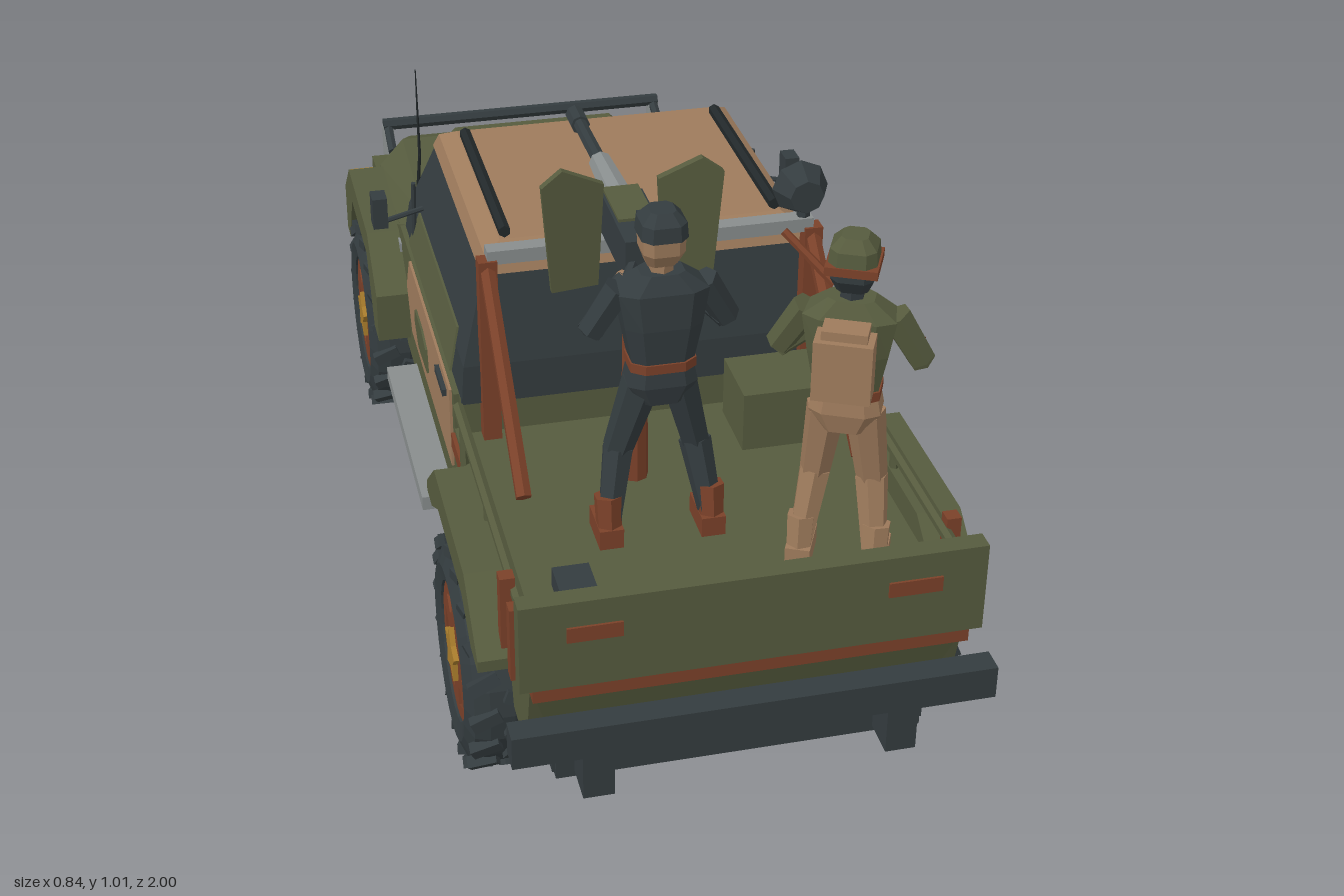
import * as THREE from 'three';

const mat = (name, color) => Object.assign(new THREE.MeshStandardMaterial({ color, flatShading: true }), { name });
const olive = mat('olive', 0x565b3e), dark = mat('charcoal', 0x343c3f), tan = mat('tan', 0x9e7b5c),
  rust = mat('rust', 0x7b4129), grey = mat('grey', 0x888d8d), gold = mat('gold', 0xa87c2c),
  black = mat('black', 0x22282a);
const V = (x, y, z) => new THREE.Vector3(x, y, z);

export function createModel() {
  const root = new THREE.Group();
  root.name = 'pickupTruck';
  const add = (name, geo, m, parent = root) => {
    const mesh = new THREE.Mesh(geo, m);
    mesh.name = name;
    parent.add(mesh);
    return mesh;
  };
  // box from min/max extents
  const box = (name, m, x0, x1, y0, y1, z0, z1, parent) =>
    add(name, new THREE.BoxGeometry(x1 - x0, y1 - y0, z1 - z0).translate((x0 + x1) / 2, (y0 + y1) / 2, (z0 + z1) / 2), m, parent);
  // tapered bar between two points
  const bar = (name, m, a, b, r0, r1 = r0, sides = 6, parent = root) => {
    const p = V(...a), q = V(...b), mesh = add(name, new THREE.CylinderGeometry(r1, r0, p.distanceTo(q), sides), m, parent);
    mesh.position.copy(p).lerp(q, 0.5);
    mesh.quaternion.setFromUnitVectors(V(0, 1, 0), q.sub(p).normalize());
    return mesh;
  };
  // closed skin through rings of equal point count
  const loft = (name, m, rings, parent) => {
    const tris = [], n = rings[0].length, last = rings[rings.length - 1];
    for (let r = 0; r + 1 < rings.length; r++)
      for (let i = 0; i < n; i++) {
        const j = (i + 1) % n, a = rings[r], b = rings[r + 1];
        tris.push([a[i], a[j], b[j]], [a[i], b[j], b[i]]);
      }
    for (let i = 1; i + 1 < n; i++) tris.push([rings[0][0], rings[0][i + 1], rings[0][i]], [last[0], last[i], last[i + 1]]);
    const vol = tris.reduce((s, [a, b, c]) => s + V(...a).dot(V(...b).cross(V(...c))), 0);
    const g = new THREE.BufferGeometry();
    g.setAttribute('position', new THREE.Float32BufferAttribute(tris.flatMap(t => (vol < 0 ? t.reverse() : t).flat()), 3));
    g.computeVertexNormals();
    return add(name, g, m, parent);
  };
  const shape = pts => new THREE.Shape(pts.map(p => new THREE.Vector2(...p)));
  // [z, y] outline extruded from x0 to x1
  const side = (name, m, pts, x0, x1) =>
    add(name, new THREE.ExtrudeGeometry(shape(pts), { depth: x1 - x0, bevelEnabled: false }).rotateY(-Math.PI / 2).translate(x1, 0, 0), m);
  const bothSides = (name, m, pts, x0, x1) => { side(name, m, pts, x0, x1); side(name, m, pts, -x1, -x0); };
  const arc = (c, r, y) => Array.from({ length: 9 }, (_, i) => {
    const a = Math.PI * i / 8;
    return [c - r * Math.cos(a), Math.max(y, 0.2 + r * Math.sin(a))];
  });

  // chassis
  box('floorPan', olive, -0.3, 0.3, 0.225, 0.4, -0.86, 0.9);
  for (const s of [-1, 1]) {
    box('frameRail', dark, s * 0.285 - 0.02, s * 0.285 + 0.02, 0.18, 0.235, -0.88, 0.9);
    box('bumperBracket', dark, s * 0.245 - 0.025, s * 0.245 + 0.025, 0.18, 0.3, 0.88, 0.97);
    box('runningBoard', grey, s * 0.37 - 0.035, s * 0.37 + 0.035, 0.235, 0.262, -0.25, 0.22);
  }
  for (const z of [-0.86, -0.59, -0.3, 0.25, 0.59, 0.88]) box('crossMember', dark, -0.3, 0.3, 0.17, 0.228, z - 0.025, z + 0.025);
  for (const z of [-0.59, 0.59]) bar('axle', dark, [-0.36, 0.2, z], [0.36, 0.2, z], 0.03, 0.03, 8);

  // body skins with wheel openings
  bothSides('bodySide', olive, [[-0.87, 0.25], ...arc(-0.59, 0.205, 0.235), ...arc(0.59, 0.205, 0.235), [0.9, 0.235],
    [0.94, 0.38], [0.94, 0.41], [0.25, 0.41], [0.25, 0.49], [-0.41, 0.49], [-0.5, 0.45], [-0.87, 0.43]], 0.29, 0.345);
  // fender flares
  for (const [c, e] of [[-0.59, 0.28], [0.59, 0.36]])
    bothSides('fenderFlare', olive, [[c - 0.25, e], [c - 0.25, 0.38], [c - 0.15, 0.465], [c + 0.15, 0.465], [c + 0.265, 0.38],
      [c + 0.265, e], [c + 0.2, e], [c + 0.12, 0.405], [c - 0.12, 0.405], [c - 0.2, e]], 0.335, 0.41);

  // hood and nose
  const hoodRing = (z, w, ya, yb, c) => [[-w, 0.36, z], [w, 0.36, z], [w, ya, z], [w - c, yb, z], [c - w, yb, z], [-w, ya, z]];
  loft('hood', olive, [hoodRing(-0.36, 0.34, 0.47, 0.525, 0.04), hoodRing(-0.76, 0.34, 0.46, 0.515, 0.05), hoodRing(-0.88, 0.3, 0.43, 0.465, 0.04)]);
  loft('hoodBulge', olive, [[[-0.2, 0.5, -0.42], [0.2, 0.5, -0.42], [0.17, 0.532, -0.42], [-0.17, 0.532, -0.42]],
    [[-0.2, 0.48, -0.8], [0.2, 0.48, -0.8], [0.17, 0.512, -0.8], [-0.17, 0.512, -0.8]]]);
  for (let i = 0; i < 6; i++) box('hoodVent', i % 2 ? grey : dark, -0.095 + i * 0.032, -0.075 + i * 0.032, 0.525, 0.536, -0.49, -0.44);
  box('noseLower', olive, -0.3, 0.3, 0.24, 0.4, -0.88, -0.8);
  box('grille', dark, -0.22, 0.22, 0.35, 0.445, -0.89, -0.87);
  for (let i = 0; i < 4; i++) box('grilleBar', black, -0.21, 0.21, 0.362 + i * 0.022, 0.37 + i * 0.022, -0.896, -0.88);
  box('frontBumper', gold, -0.385, 0.385, 0.29, 0.355, -0.97, -0.89);
  box('winchPlate', grey, -0.085, 0.085, 0.3, 0.345, -1, -0.965);
  for (const s of [-1, 1]) {
    bar('headlight', rust, [s * 0.26, 0.4, -0.87], [s * 0.26, 0.4, -0.9], 0.035, 0.035, 10);
    bar('headlightLens', gold, [s * 0.26, 0.4, -0.895], [s * 0.26, 0.4, -0.904], 0.026, 0.026, 10);
    bar('guardPost', grey, [s * 0.3, 0.34, -0.93], [s * 0.3, 0.47, -0.93], 0.014);
    bar('guardBrace', dark, [s * 0.3, 0.47, -0.93], [s * 0.3, 0.44, -0.86], 0.01);
    box('fenderPatch', grey, s * 0.343 - 0.006, s * 0.343 + 0.006, 0.42, 0.455, -0.46, -0.4);
  }
  bar('guardTopBar', dark, [-0.31, 0.475, -0.93], [0.31, 0.475, -0.93], 0.013);

  // cab
  const rect = (y, w, z0, z1) => [[-w, y, z0], [w, y, z0], [w, y, z1], [-w, y, z1]];
  box('cabLower', olive, -0.335, 0.335, 0.25, 0.49, -0.41, 0.27);
  loft('cabGlass', dark, [rect(0.485, 0.335, -0.41, 0.28), rect(0.56, 0.33, -0.37, 0.28), rect(0.73, 0.285, -0.27, 0.25)]);
  loft('roof', tan, [rect(0.722, 0.29, -0.28, 0.255), rect(0.75, 0.28, -0.265, 0.245), rect(0.767, 0.25, -0.235, 0.215)]);
  const pane = (name, m, pts, d) => loft(name, m, [pts, pts.map(p => p.map((v, i) => v + d[i]))]);
  const wx = y => 0.33 - (y - 0.56) * 0.265, wz = y => -0.37 + (y - 0.56) * 0.588;
  for (const s of [-1, 1]) {
    pane('windshieldPane', olive, [[s * 0.008, 0.575, wz(0.575)], [s * 0.285, 0.575, wz(0.575)], [s * 0.25, 0.71, wz(0.71)], [s * 0.008, 0.71, wz(0.71)]], [0, 0.003, -0.005]);
    pane('cowlPane', olive, [[s * 0.01, 0.53, -0.386], [s * 0.29, 0.53, -0.386], [s * 0.285, 0.55, -0.376], [s * 0.01, 0.55, -0.376]], [0, 0.002, -0.004]);
    pane('sideWindowBand', olive, [[s * wx(0.52), 0.515, -0.29], [s * wx(0.52), 0.515, 0.21], [s * wx(0.59), 0.59, 0.19], [s * wx(0.59), 0.59, -0.26]], [s * 0.004, 0, 0]);
    bar('roofRail', black, [s * 0.24, 0.778, -0.2], [s * 0.24, 0.778, 0.21], 0.011);
    bar('mirrorArm', dark, [s * 0.32, 0.61, -0.24], [s * 0.4, 0.595, -0.23], 0.005);
    bar('mirrorPost', dark, [s * 0.335, 0.54, -0.27], [s * 0.335, 0.66, -0.25], 0.005);
    box('mirror', dark, s * 0.405 - 0.014, s * 0.405 + 0.014, 0.59, 0.652, -0.25, -0.21);
  }
  bothSides('doorPanel', tan, [[0.23, 0.33], [0.23, 0.488], [-0.26, 0.488], [-0.31, 0.41], [-0.26, 0.33]], 0.34, 0.35);
  bothSides('doorPatch', olive, [[-0.03, 0.37], [-0.04, 0.415], [-0.09, 0.43], [-0.17, 0.43], [-0.18, 0.4], [-0.14, 0.365]], 0.345, 0.354);
  bothSides('doorHandle', dark, [[0.2, 0.458], [0.2, 0.471], [0.11, 0.471], [0.11, 0.458]], 0.345, 0.358);
  bar('antenna', black, [-0.31, 0.5, -0.42], [-0.31, 0.68, -0.33], 0.004, 0.003, 4);
  bar('antennaTip', black, [-0.31, 0.68, -0.33], [-0.316, 0.875, -0.29], 0.003, 0.001, 4);

  // cargo bed and tailgate
  box('bedFloor', olive, -0.345, 0.345, 0.395, 0.42, 0.25, 0.94);
  bothSides('bedSill', rust, [[0.25, 0.383], [0.25, 0.412], [0.94, 0.412], [0.94, 0.383]], 0.34, 0.352);
  box('tailgate', olive, -0.365, 0.365, 0.4, 0.555, 0.935, 0.968);
  box('tailgateSill', rust, -0.345, 0.345, 0.376, 0.4, 0.92, 0.965);
  loft('rearApron', olive, [rect(0.235, 0.3, 0.86, 0.9), rect(0.376, 0.34, 0.86, 0.945)]);
  box('rearBumper', dark, -0.385, 0.385, 0.285, 0.342, 0.958, 1);
  for (const s of [-1, 1]) {
    box('tailLight', rust, s * 0.25 - 0.043, s * 0.25 + 0.043, 0.485, 0.511, 0.965, 0.972);
    for (const z of [0.83, 0.91]) box('bedPost', rust, s * 0.358 - 0.012, s * 0.358 + 0.012, 0.39, 0.52, z - 0.012, z + 0.012);
    for (const z of [0.36, 0.6]) bar('railPost', olive, [s * 0.345, 0.41, z], [s * 0.345, 0.49, z], 0.009);
    bar('bedRail', olive, [s * 0.345, 0.495, 0.3], [s * 0.345, 0.495, 0.94], 0.01);
    loft('cornerPlate', rust, [0.421, 0.428].map(y => [[s * 0.34, y, 0.935], [s * 0.26, y, 0.935], [s * 0.34, y, 0.85]]));
    // roll bar
    box('rollPost', rust, s * 0.285 - 0.016, s * 0.285 + 0.016, 0.41, 0.77, 0.27, 0.3);
    bar('rollBrace', rust, [s * 0.285, 0.76, 0.28], [s * 0.285, 0.49, 0.59], 0.014);
  }
  box('rollCrossbar', grey, -0.285, 0.285, 0.762, 0.787, 0.265, 0.295);
  box('ammoCrate', olive, 0.13, 0.29, 0.42, 0.53, 0.3, 0.43);
  box('toolCase', dark, -0.27, -0.21, 0.42, 0.455, 0.74, 0.83);
  bar('searchlight', dark, [0.27, 0.83, 0.3], [0.27, 0.83, 0.255], 0.03, 0.05, 8);
  bar('searchlightLens', gold, [0.27, 0.83, 0.256], [0.27, 0.83, 0.249], 0.042, 0.042, 8);
  bar('searchlightStem', dark, [0.27, 0.77, 0.28], [0.27, 0.8, 0.28], 0.012);

  // wheels
  const wheel = (x, z, m, hub) => {
    const g = new THREE.Group();
    g.name = 'wheel';
    g.position.set(x, 0.2, z);
    if (x < 0) g.rotation.y = Math.PI;
    root.add(g);
    const tyre = [[0.05, -0.055], [0.15, -0.058], [0.18, -0.045], [0.188, -0.02], [0.188, 0.02], [0.18, 0.045], [0.15, 0.058], [0.12, 0.052], [0.115, 0.03], [0.001, 0.03]];
    add('tyre', new THREE.LatheGeometry(tyre.map(p => new THREE.Vector2(...p)), 24).rotateZ(-Math.PI / 2), dark, g);
    add('innerHub', new THREE.CylinderGeometry(0.11, 0.11, 0.02, 18).rotateZ(Math.PI / 2).translate(-0.045, 0, 0), black, g);
    for (let i = 0; i < 18; i++) for (const s of [-1, 1]) {
      const lug = new THREE.BoxGeometry(0.05, 0.02, 0.022).rotateY(s * 0.4).translate(s * 0.028, 0.187, 0);
      add('treadLug', lug.rotateX((i + (s > 0 ? 0.5 : 0)) * Math.PI / 9), dark, g);
    }
    const rim = new THREE.Shape().absarc(0, 0, 0.118, 0, Math.PI * 2);
    for (let i = 0; i < 6; i++) {
      const a = i * Math.PI / 3;
      rim.holes.push(new THREE.Path([[0.065, -0.2], [0.098, -0.28], [0.098, 0.28], [0.065, 0.2]].map(([r, d]) => new THREE.Vector2(r * Math.cos(a + d), r * Math.sin(a + d)))));
    }
    add('rim', new THREE.ExtrudeGeometry(rim, { depth: 0.012, bevelEnabled: false, curveSegments: 12 }).rotateY(Math.PI / 2).translate(0.036, 0, 0), m, g);
    const star = shape(Array.from({ length: 10 }, (_, i) => {
      const r = i % 2 ? 0.028 : 0.05, a = Math.PI / 2 + i * Math.PI / 5;
      return [r * Math.cos(a), r * Math.sin(a)];
    }));
    add('hubCap', new THREE.ExtrudeGeometry(star, { depth: 0.012, bevelEnabled: false }).rotateY(Math.PI / 2).translate(0.045, 0, 0), hub, g);
  };
  wheel(0.36, 0.59, grey, grey);
  for (const [x, z] of [[0.36, -0.59], [-0.36, -0.59], [-0.36, 0.59]]) wheel(x, z, rust, gold);

  // mounted gun with split shield
  const gx = -0.07;
  bar('gunPedestal', rust, [gx, 0.42, 0.46], [gx, 0.85, 0.46], 0.024, 0.02, 8);
  box('gunReceiver', dark, gx - 0.035, gx + 0.035, 0.84, 0.91, 0.36, 0.54);
  box('ammoBox', olive, gx - 0.03, gx + 0.03, 0.85, 0.915, 0.35, 0.47);
  bar('gunSleeve', grey, [gx, 0.887, 0.36], [gx, 0.887, 0.2], 0.026, 0.02, 8);
  bar('gunBarrel', dark, [gx, 0.887, 0.22], [gx, 0.884, 0], 0.013, 0.012, 8);
  bar('muzzle', dark, [gx, 0.884, 0.04], [gx, 0.884, -0.01], 0.017, 0.017, 8);
  for (const s of [-1, 1]) {
    const pts = [[0.15, 0.97], [0.115, 0.995], [0.045, 0.96], [0.055, 0.78], [0.135, 0.78]];
    loft('gunShield', olive, [0, 0.014].map(d => pts.map(([x, y]) => [gx + s * x, y, 0.41 + d + x * 0.15])));
    bar('gunGrip', dark, [gx + s * 0.02, 0.87, 0.53], [gx + s * 0.04, 0.86, 0.57], 0.009);
  }

  // crew figures, facing -z, feet on the bed floor
  const figure = (name, x, z, c, turn, spread, hands) => {
    const g = new THREE.Group();
    g.name = name;
    g.position.set(x, 0.42, z);
    g.rotation.y = turn;
    root.add(g);
    const ring = (y, w, d, o = 0) => [[-w, y, o - d * 0.6], [-w * 0.6, y, o - d], [w * 0.6, y, o - d], [w, y, o - d * 0.6],
      [w, y, o + d * 0.6], [w * 0.6, y, o + d], [-w * 0.6, y, o + d], [-w, y, o + d * 0.6]];
    loft('torso', c.top, [ring(0.32, 0.047, 0.034), ring(0.4, 0.062, 0.042), ring(0.46, 0.072, 0.04), ring(0.488, 0.035, 0.025)], g);
    loft('hips', c.legs, [ring(0.26, 0.035, 0.03), ring(0.295, 0.056, 0.038), ring(0.325, 0.05, 0.035)], g);
    loft('belt', rust, [ring(0.322, 0.053, 0.039), ring(0.338, 0.053, 0.039)], g);
    bar('neck', c.face, [0, 0.47, 0], [0, 0.51, 0], 0.02, 0.02, 6, g);
    loft('head', c.face, [ring(0.5, 0.024, 0.025, -0.006), ring(0.525, 0.033, 0.036), ring(0.56, 0.034, 0.037)], g);
    loft('headgear', c.cap, [ring(0.55, 0.037, 0.04), ring(0.575, 0.035, 0.038), ring(0.592, 0.02, 0.022)], g);
    box('capPeak', c.cap, -0.025, 0.025, 0.552, 0.56, -0.062, -0.03, g);
    for (const s of [-1, 1]) {
      const knee = [s * spread * 0.75, 0.16, -0.018], foot = [s * spread, 0.03, 0.012];
      bar('thigh', c.legs, [s * 0.03, 0.29, 0], knee, 0.032, 0.025, 6, g);
      bar('shin', c.legs, knee, foot, 0.027, 0.02, 6, g);
      bar('bootLeg', c.boots, [foot[0], 0.085, 0.004], foot, 0.024, 0.022, 6, g);
      box('boot', c.boots, foot[0] - 0.02, foot[0] + 0.02, 0, 0.035, -0.045, 0.035, g);
      const hand = hands[s < 0 ? 0 : 1], elbow = [s * 0.11, 0.385, -0.01];
      bar('upperArm', c.top, [s * 0.066, 0.462, 0], elbow, 0.025, 0.022, 6, g);
      bar('forearm', c.top, elbow, hand, 0.022, 0.015, 6, g);
      add('hand', new THREE.IcosahedronGeometry(0.016, 0).translate(...hand), c.glove, g);
    }
    return g;
  };
  figure('gunner', -0.07, 0.63, { top: dark, legs: dark, face: tan, cap: dark, boots: rust, glove: tan }, 0, 0.085, [[-0.04, 0.43, -0.085], [0.04, 0.43, -0.085]]);
  const rifleman = figure('rifleman', 0.19, 0.775, { top: olive, legs: tan, face: dark, cap: olive, boots: tan, glove: dark }, -0.45, 0.06, [[-0.02, 0.4, -0.12], [0.06, 0.39, -0.09]]);
  box('goggleBand', rust, -0.04, 0.04, 0.538, 0.552, -0.042, 0.042, rifleman);
  box('goggles', gold, -0.03, 0.03, 0.535, 0.556, -0.05, -0.04, rifleman);
  box('backpack', tan, -0.045, 0.045, 0.35, 0.45, 0.04, 0.09, rifleman);
  box('backpackFlap', tan, -0.035, 0.035, 0.44, 0.465, 0.038, 0.08, rifleman);
  bar('rifleStock', rust, [0.1, 0.385, -0.05], [0.02, 0.405, -0.1], 0.018, 0.012, 6, rifleman);
  bar('rifleBody', grey, [0.03, 0.4, -0.095], [-0.04, 0.43, -0.13], 0.013, 0.012, 6, rifleman);
  bar('rifleBarrel', rust, [-0.04, 0.43, -0.13], [-0.13, 0.5, -0.16], 0.008, 0.007, 6, rifleman);
  return root;
}
